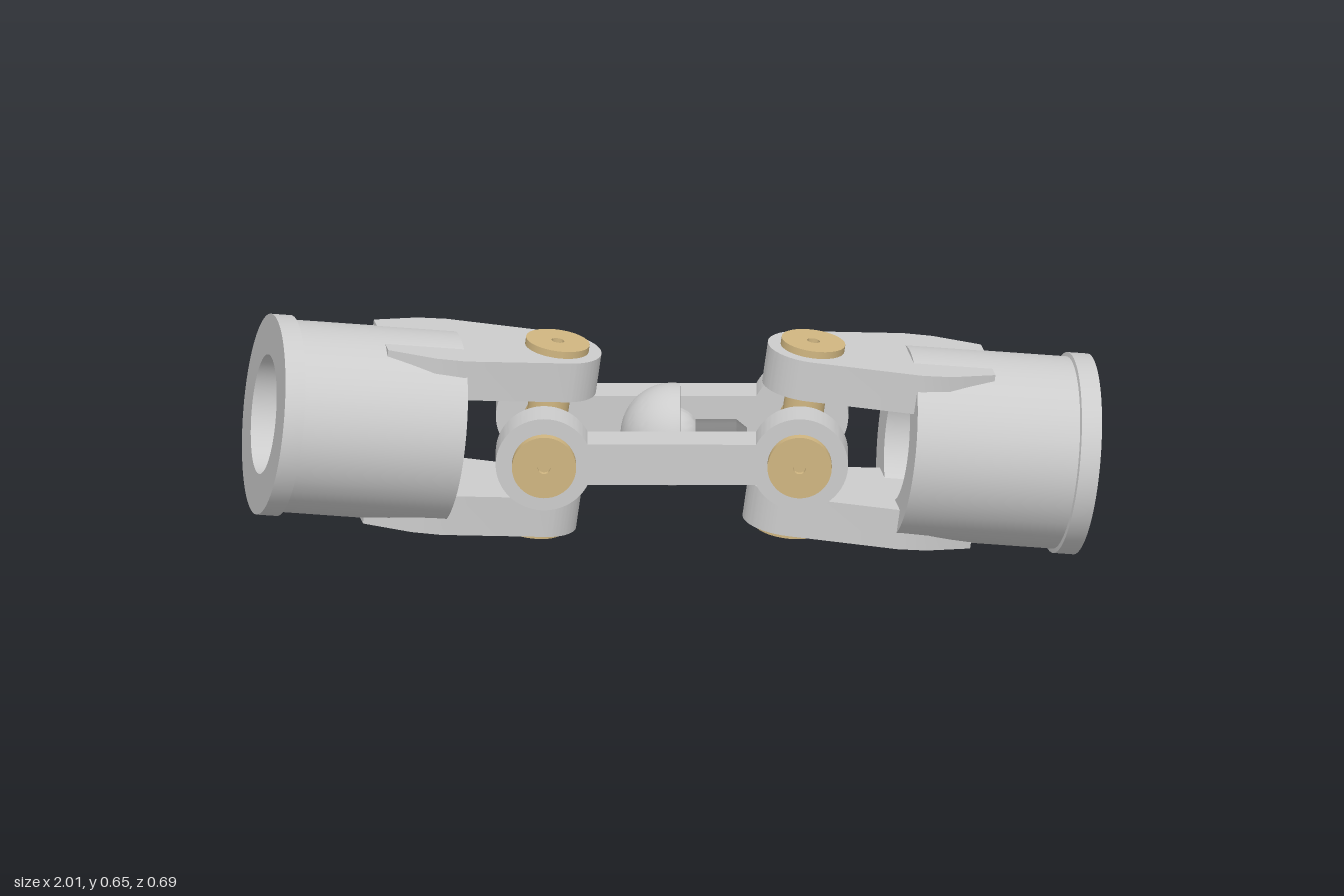
import * as THREE from 'three';
import { toCreasedNormals } from 'three/addons/utils/BufferGeometryUtils.js';

const steel = new THREE.MeshStandardMaterial({ color: 0xcccccc });
steel.name = 'steel';
const brass = new THREE.MeshStandardMaterial({ color: 0xd0b681 });
brass.name = 'brass';
const darkSteel = new THREE.MeshStandardMaterial({ color: 0x808080 });
darkSteel.name = 'dark steel';

const CENTRE_Y = 0.325, JOINT_X = 0.298;
const TILT = -0.137, SWING = 0.172;

function part(name, geometry, material) {
  const mesh = new THREE.Mesh(toCreasedNormals(geometry, 0.5), material);
  mesh.name = name;
  return mesh;
}

// Profile of [radius, height] pairs, listed anticlockwise
function lathe(profile, segments = 64) {
  return new THREE.LatheGeometry(profile.map(([r, h]) => new THREE.Vector2(r, h)), segments);
}

// Tube with a rim, and two arms that clasp the vertical pin; points along +x
function makeYoke(name) {
  const yoke = new THREE.Group();
  yoke.name = name;
  const tube = lathe([[0.14, 0.232], [0.225, 0.232], [0.225, 0.62], [0.235, 0.622],
    [0.235, 0.67], [0.14, 0.67], [0.14, 0.232]], 80);
  tube.rotateZ(-Math.PI / 2);
  yoke.add(part('tube', tube, steel));

  const outline = new THREE.Shape();
  outline.absarc(0, 0, 0.105, 1.72, Math.PI * 2 - 1.72, false);
  outline.lineTo(0.24, -0.14);
  outline.lineTo(0.31, -0.135);
  outline.lineTo(0.42, -0.1);
  outline.lineTo(0.42, 0.1);
  outline.lineTo(0.31, 0.135);
  outline.lineTo(0.24, 0.14);
  for (const side of [1, -1]) {
    const arm = new THREE.ExtrudeGeometry(outline, { depth: 0.097, bevelEnabled: false, curveSegments: 32 });
    arm.translate(0, 0, 0.12);
    arm.rotateX(-side * Math.PI / 2);
    yoke.add(part(side > 0 ? 'upperArm' : 'lowerArm', arm, steel));
  }
  return yoke;
}

// Two crossed shafts with a dimpled cap on each of the four ends
function makeCross(name) {
  const cross = new THREE.Group();
  cross.name = name;
  for (let i = 0; i < 4; i++) {
    const arm = new THREE.Group();
    arm.name = 'pin';
    arm.rotation.x = i * Math.PI / 2;
    const shaft = new THREE.CylinderGeometry(0.048, 0.048, 0.2, 40);
    shaft.translate(0, 0.1, 0);
    arm.add(part('shaft', shaft, brass));
    arm.add(part('cap', lathe([[0, 0.205], [0.075, 0.205], [0.075, 0.234],
      [0.015, 0.234], [0.015, 0.222], [0, 0.222]], 48), brass));
    cross.add(arm);
  }
  return cross;
}

// Side plate of the middle link: a bar with a round eye at each end
function makeLinkPlate(side) {
  const R = 0.113, a = Math.asin(0.05 / R);
  const outline = new THREE.Shape();
  outline.absarc(JOINT_X, 0, R, -Math.PI + a, Math.PI - a, false);
  outline.absarc(-JOINT_X, 0, R, a, Math.PI * 2 - a, false);
  const plate = new THREE.ExtrudeGeometry(outline, { depth: 0.09, bevelEnabled: false, curveSegments: 48 });
  plate.translate(0, 0, side > 0 ? 0.122 : -0.212);
  return part(side > 0 ? 'frontLinkPlate' : 'backLinkPlate', plate, steel);
}

export function createModel() {
  const model = new THREE.Group();
  model.name = 'doubleUniversalJoint';
  const assembly = new THREE.Group();
  assembly.name = 'assembly';
  assembly.position.y = CENTRE_Y;
  model.add(assembly);

  // Yokes and crosses
  for (const side of [1, -1]) {
    const label = side > 0 ? 'left' : 'right';
    const joint = new THREE.Group();
    joint.name = label + 'Joint';
    joint.position.x = side * JOINT_X;
    joint.rotation.z = TILT;
    const yoke = makeYoke(label + 'Yoke');
    yoke.rotation.y = SWING + (side > 0 ? 0 : Math.PI);
    joint.add(yoke, makeCross(label + 'Cross'));
    assembly.add(joint);
  }

  // Middle link
  assembly.add(makeLinkPlate(1), makeLinkPlate(-1));

  // Centring socket: a hollow half ball open towards +x
  const profile = [];
  for (let i = 0; i <= 20; i++) {
    const t = -Math.PI / 2 + (i / 20) * (Math.PI / 2 + 0.16);
    profile.push([0.12 * Math.cos(t), 0.12 * Math.sin(t)]);
  }
  for (let i = 0; i <= 12; i++) {
    const t = 0.28 - (i / 12) * (Math.PI / 2 + 0.28);
    profile.push([0.07 * Math.cos(t), 0.07 * Math.sin(t)]);
  }
  const socket = lathe(profile, 56);
  socket.rotateZ(-Math.PI / 2);
  assembly.add(part('centringSocket', socket, steel));

  // Centring ball and its stem
  assembly.add(part('centringBall', new THREE.SphereGeometry(0.065, 40, 24), steel));
  const stem = lathe([[0, 0.03], [0.035, 0.03], [0.035, 0.15], [0.015, 0.175], [0, 0.175]], 32);
  stem.rotateZ(-Math.PI / 2);
  assembly.add(part('centringStem', stem, darkSteel));

  return model;
}
